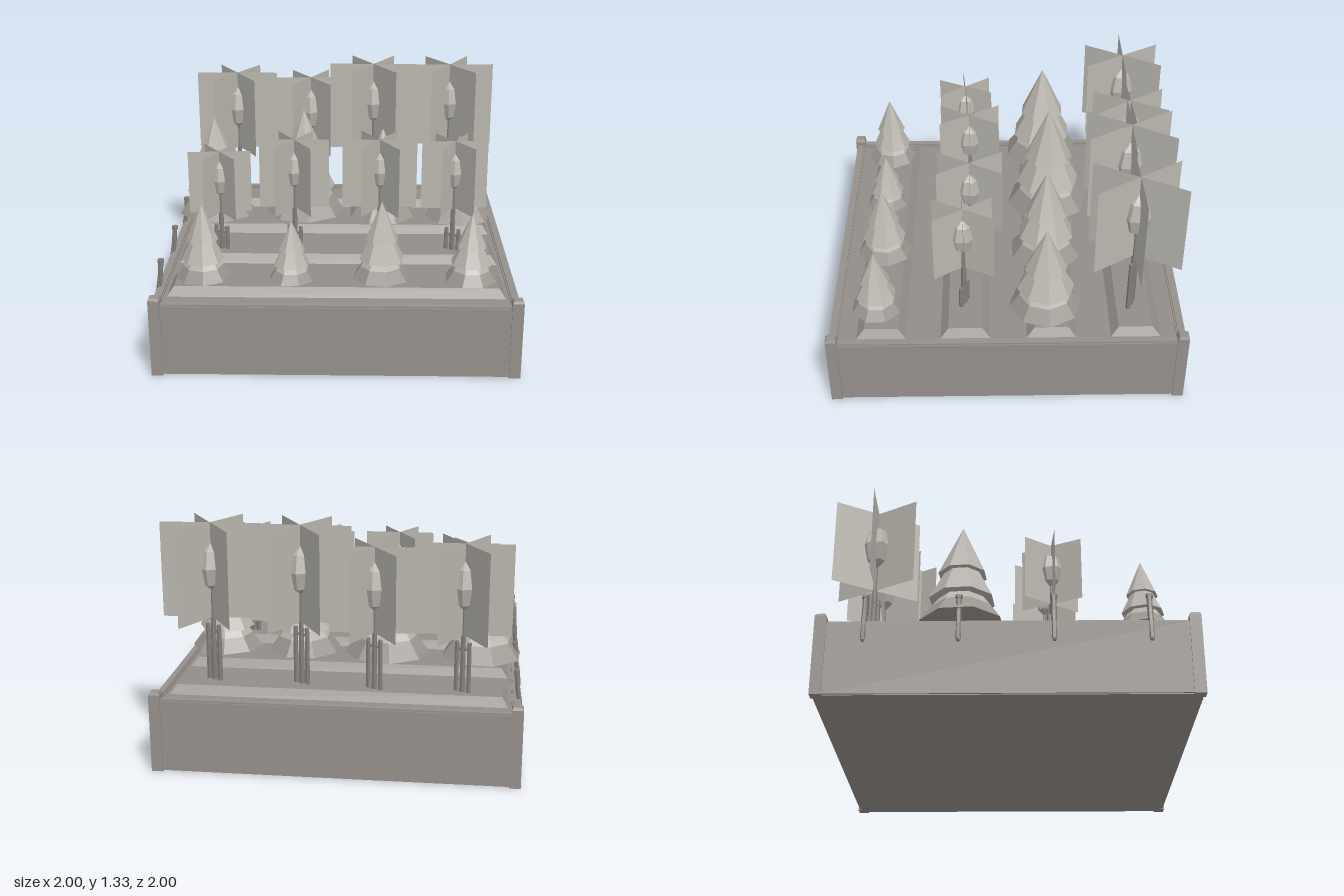
import * as THREE from 'three';

const mat = (name, color, flatShading = true, side = THREE.FrontSide) => {
  const m = new THREE.MeshStandardMaterial({ color, flatShading, side });
  m.name = name;
  return m;
};

export function createModel() {
  const model = new THREE.Group();
  model.name = 'treeNurseryPlanter';
  const timber = mat('timber grey', 0x96908c);
  const soil = mat('soil grey', 0x928d88);
  const bark = mat('bark grey', 0x847f7a);
  const skirtMat = mat('low needles grey', 0x9b9791, true, THREE.DoubleSide);
  const needles = mat('needles grey', 0xb8b5ad, true, THREE.DoubleSide);
  const leaves = mat('leaf grey', 0xbab7af, true, THREE.DoubleSide);

  const add = (parent, name, geo, material, x = 0, y = 0, z = 0) => {
    const mesh = new THREE.Mesh(geo, material);
    mesh.name = name;
    mesh.position.set(x, y, z);
    parent.add(mesh);
    return mesh;
  };
  const box = (w, h, d) => new THREE.BoxGeometry(w, h, d);
  const group = (name, x, y, z) => {
    const g = new THREE.Group();
    g.name = name;
    g.position.set(x, y, z);
    model.add(g);
    return g;
  };

  // Planter box: soil block, four walls with rails, corner posts
  add(model, 'soilBed', box(1.9, 0.39, 1.9), soil, 0, 0.2, 0);
  for (const s of [-1, 1]) {
    add(model, 'endWall', box(1.9, 0.4, 0.05), timber, 0, 0.205, s * 0.965);
    add(model, 'sideWall', box(0.05, 0.4, 1.9), timber, s * 0.965, 0.205, 0);
    add(model, 'endRail', box(1.9, 0.02, 0.035), timber, 0, 0.405, s * 0.965);
    add(model, 'sideRail', box(0.035, 0.02, 1.9), timber, s * 0.965, 0.405, 0);
    for (const t of [-1, 1]) {
      add(model, 'cornerPost', box(0.062, 0.44, 0.062), timber, s * 0.968, 0.22, t * 0.968);
      const cap = new THREE.CylinderGeometry(0.033, 0.044, 0.015, 4).rotateY(Math.PI / 4);
      add(model, 'postCap', cap, timber, s * 0.968, 0.4475, t * 0.968);
    }
  }
  add(model, 'basePlate', box(1.96, 0.01, 1.96), timber, 0, 0.005, 0);

  // Raised planting ridges: boxes with a narrowed top
  for (const z of [-0.713, -0.245, 0.233, 0.7]) {
    const g = box(1.85, 0.05, 0.285);
    const p = g.attributes.position;
    for (let i = 0; i < p.count; i++) {
      if (p.getY(i) > 0) p.setXYZ(i, p.getX(i) * 0.96, p.getY(i), p.getZ(i) * 0.66);
    }
    add(model, 'plantingRidge', g, soil, 0, 0.415, z);
  }

  // Water pipes bent over the side wall
  for (const z of [-0.745, -0.255, 0.24, 0.74]) {
    const path = new THREE.CatmullRomCurve3([
      new THREE.Vector3(-0.962, 0.57, z), new THREE.Vector3(-0.97, 0.47, z),
      new THREE.Vector3(-0.982, 0.4, z), new THREE.Vector3(-0.99, 0.31, z)]);
    add(model, 'waterPipe', new THREE.TubeGeometry(path, 6, 0.015, 6), bark);
    add(model, 'pipeTop', new THREE.CylinderGeometry(0.019, 0.019, 0.02, 6), bark, -0.962, 0.565, z);
    add(model, 'pipeEnd', new THREE.SphereGeometry(0.014, 6, 4), bark, -0.986, 0.305, z);
  }

  // Conifers: trunk, stakes and three overlapping tiers
  const conifer = (x, z, r, top, turn) => {
    const h = top - 0.44;
    const tree = group('conifer', x, 0.44, z);
    add(tree, 'trunk', new THREE.CylinderGeometry(r * 0.1, r * 0.13, h * 0.4, 7), bark, 0, h * 0.2, 0);
    for (const s of [-1, 1]) {
      add(tree, 'stake', new THREE.CylinderGeometry(0.013, 0.013, h * 0.3, 6), bark, s * 0.04, h * 0.15, 0);
    }
    // y and radius at the bottom and top of each tier
    const tier = (name, y0, r0, y1, r1, material, open) => {
      const g = new THREE.CylinderGeometry(r1 * r, r0 * r, (y1 - y0) * h, 8, 1, open);
      add(tree, name, g, material, 0, (y0 + y1) * h / 2, 0).rotation.y = turn;
    };
    tier('skirt', 0.08, 1, 0.22, 0.72, skirtMat, false);
    tier('lowerTier', 0.22, 0.72, 0.38, 0.4, needles, true);
    tier('middleTier', 0.3, 0.78, 0.64, 0.3, needles, false);
    tier('upperTier', 0.54, 0.58, 1, 0, needles, false);
  };
  [[-0.77, -0.25, 0.235, 1.1, 0.3], [-0.22, -0.265, 0.245, 1.15, 0.15],
    [0.265, -0.235, 0.212, 1.04, 0.4], [0.735, -0.215, 0.205, 1.0, 0.1],
    [-0.73, 0.73, 0.15, 0.9, 0.1], [-0.245, 0.73, 0.128, 0.8, 0.35],
    [0.245, 0.715, 0.16, 0.91, 0.2], [0.735, 0.73, 0.145, 0.85, 0.4],
  ].forEach((t) => conifer(...t));

  // Broadleaf trees: stakes, trunk, faceted crown and three crossed leaf cards
  const broadleaf = (x, z, w, y0, y1, r, stakeTop, turn) => {
    const tree = group('broadleafTree', x, 0, z);
    const mid = (y0 + y1) / 2 + 0.02;
    add(tree, 'trunk', new THREE.CylinderGeometry(0.011, 0.018, mid - 0.43, 6), bark, 0, (mid + 0.43) / 2, 0);
    for (const s of [-1, 1]) {
      add(tree, 'stake', new THREE.CylinderGeometry(0.013, 0.014, stakeTop - 0.43, 6), bark,
        s * 0.034, (stakeTop + 0.43) / 2, s * 0.016);
    }
    add(tree, 'stakeTie', box(0.08, 0.012, 0.012), bark, 0, stakeTop - 0.04, 0).rotation.y = -0.44;
    const crown = new THREE.SphereGeometry(r, 6, 4).scale(1, 1.5, 1);
    add(tree, 'crown', crown, needles, 0, mid, 0).rotation.y = turn + 0.4;
    for (let i = 0; i < 3; i++) {
      const card = add(tree, 'leafCard', new THREE.PlaneGeometry(w, y1 - y0), leaves, 0, (y0 + y1) / 2, 0);
      card.rotation.y = turn + i * Math.PI / 3;
    }
  };
  [[-0.672, -0.74, 0.515, 0.76, 1.26, 0.09, 0.72, 0], [-0.195, -0.745, 0.48, 0.755, 1.23, 0.09, 0.72, 0.05],
    [0.21, -0.705, 0.555, 0.79, 1.33, 0.09, 0.76, 0], [0.7, -0.7, 0.55, 0.8, 1.33, 0.088, 0.76, 0.03],
    [-0.685, 0.24, 0.36, 0.665, 1.035, 0.07, 0.58, 0.08], [-0.255, 0.21, 0.405, 0.69, 1.1, 0.072, 0.57, 0],
    [0.24, 0.205, 0.43, 0.69, 1.1, 0.072, 0.57, 0], [0.67, 0.24, 0.38, 0.7, 1.105, 0.072, 0.57, 0.05],
  ].forEach((t) => broadleaf(...t));

  return model;
}
